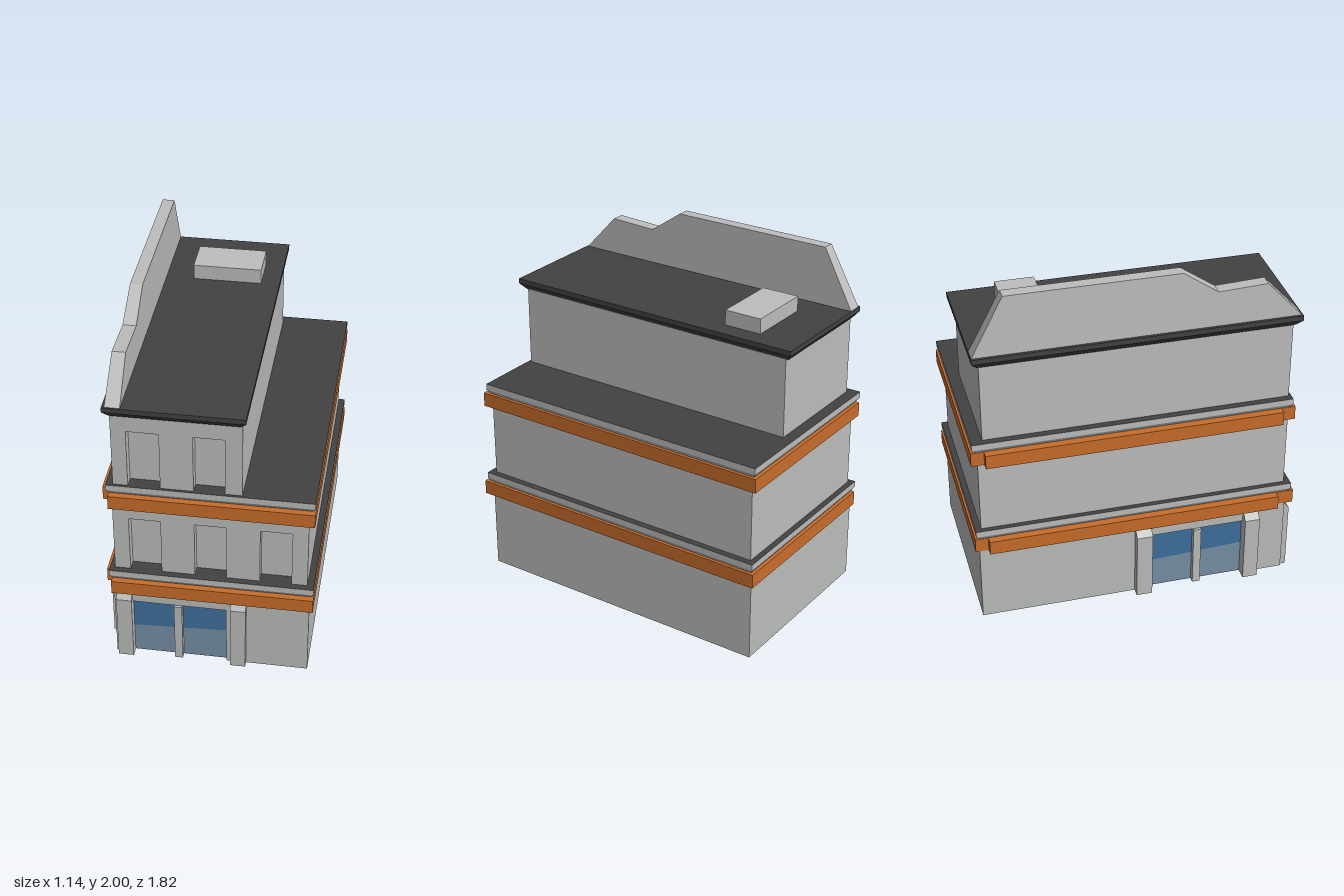
import * as THREE from 'three';

const mat = (name, color) => {
  const m = new THREE.MeshStandardMaterial({ color });
  m.name = name;
  return m;
};

export function createModel() {
  const wall = mat('wall grey', 0xbcbebc);
  const orange = mat('orange band', 0xc96d2b);
  const dark = mat('dark roof', 0x424242);
  const glassTop = mat('blue glass', 0x3f709c);
  const glassLow = mat('pale glass', 0x7690a6);
  glassTop.side = glassLow.side = THREE.DoubleSide;

  const model = new THREE.Group();
  model.name = 'building';

  const add = (parent, name, geometry, material) => {
    const mesh = new THREE.Mesh(geometry, material);
    mesh.name = name;
    parent.add(mesh);
    return mesh;
  };

  // Box given by its limits
  const box = (parent, name, material, x0, x1, y0, y1, z0, z1) => {
    const m = add(parent, name, new THREE.BoxGeometry(x1 - x0, y1 - y0, z1 - z0), material);
    m.position.set((x0 + x1) / 2, (y0 + y1) / 2, (z0 + z1) / 2);
  };

  // Slab whose underside slopes in by "inset" below yMid; sides and top coloured apart
  const flaredSlab = (name, side, top, x0, x1, y0, yMid, y1, z0, z1, inset) => {
    const g = new THREE.BoxGeometry(x1 - x0, 2, z1 - z0, 1, 2, 1);
    const p = g.attributes.position;
    for (let i = 0; i < p.count; i++) {
      const level = Math.round(p.getY(i));
      if (level < 0) {
        p.setX(i, p.getX(i) - Math.sign(p.getX(i)) * inset);
        p.setZ(i, p.getZ(i) - Math.sign(p.getZ(i)) * inset);
      }
      p.setY(i, [y0, yMid, y1][level + 1]);
    }
    const flat = g.toNonIndexed();
    flat.computeVertexNormals();
    const m = add(model, name, flat, [side, side, top, side, side, side]);
    m.position.set((x0 + x1) / 2, 0, (z0 + z1) / 2);
  };

  // Wall panel with openings that rise from its foot; outer face at z = front
  const notchedWall = (parent, name, x0, x1, y0, y1, openings, top, depth, front) => {
    const s = new THREE.Shape();
    s.moveTo(x0, y0);
    for (const [a, b] of openings) {
      s.lineTo(a, y0);
      s.lineTo(a, top);
      s.lineTo(b, top);
      s.lineTo(b, y0);
    }
    s.lineTo(x1, y0);
    s.lineTo(x1, y1);
    s.lineTo(x0, y1);
    const g = new THREE.ExtrudeGeometry(s, { depth, bevelEnabled: false });
    add(parent, name, g, wall).position.z = front - depth;
  };

  // Pilaster with a sloped head, extruded across its width
  const pilaster = (parent, x0, x1, back, front) => {
    const s = new THREE.Shape([
      [back, 0], [front, 0], [front, 0.4], [back + 0.005, 0.455], [back, 0.455],
    ].map(([z, y]) => new THREE.Vector2(-z, y)));
    const g = new THREE.ExtrudeGeometry(s, { depth: x1 - x0, bevelEnabled: false });
    g.rotateY(Math.PI / 2);
    add(parent, 'pilaster', g, wall).position.x = x0;
  };

  const quad = (points) => new THREE.ShapeGeometry(new THREE.Shape(points.map(([x, y]) => new THREE.Vector2(x, y))));

  // Shop front facing local +z: notched wall, two-tone glazing, mullion, pilasters
  const shopFront = (name, x0, x1, a, b, mullion, front, pilasters, reach) => {
    const g = new THREE.Group();
    g.name = name;
    notchedWall(g, 'shopWall', x0, x1, 0, 0.46, [[a, b]], 0.37, 0.04, front);
    const z = front - 0.02;
    add(g, 'upperGlass', quad([[a, 0.18], [b, 0.205], [b, 0.37], [a, 0.37]]), glassTop).position.z = z;
    add(g, 'lowerGlass', quad([[a, 0], [b, 0], [b, 0.205], [a, 0.18]]), glassLow).position.z = z;
    box(g, 'mullion', wall, mullion - 0.022, mullion + 0.022, 0, 0.37, front - 0.035, front + 0.015);
    for (const [p, q] of pilasters) pilaster(g, p, q, front - 0.01, front + reach);
    model.add(g);
    return g;
  };

  // Ground floor, open underneath
  box(model, 'groundBackWall', wall, -0.52, 0.545, 0, 0.46, -0.885, -0.865);
  box(model, 'groundLeftWall', wall, 0.525, 0.545, 0, 0.46, -0.885, 0.865);
  shopFront('frontShop', -0.52, 0.545, -0.42, 0.095, -0.168, 0.865,
    [[-0.505, -0.42], [0.12, 0.205]], 0.035);
  shopFront('sideShop', -0.885, 0.865, 0.08, 0.62, 0.35, 0.52,
    [[-0.01, 0.08], [0.62, 0.705]], 0.05).rotation.y = -Math.PI / 2;

  // Orange bands, each with a separate strip on the right side, and ledges above
  for (const [y, xMax, zMax] of [[0.455, 0.568, 0.91], [1.02, 0.562, 0.89]]) {
    box(model, 'orangeBand', orange, -0.525, xMax, y, y + 0.081, -0.907, zMax);
    box(model, 'sideBand', orange, -0.567, -0.52, y, y + 0.081, -0.835, 0.81);
    flaredSlab('ledge', wall, dark, -0.538, xMax - 0.002, y + 0.08, y + 0.105, y + 0.14,
      -0.902, zMax - 0.02, 0.016);
  }

  // Upper storeys with blank window recesses
  const storey = (name, x0, x1, y0, y1, z0, z1, openings, top) => {
    const g = new THREE.Group();
    g.name = name;
    box(g, 'storeyBody', wall, x0, x1, y0, y1, z0, z1 - 0.06);
    notchedWall(g, 'windowWall', x0, x1, y0, y1, openings, top, 0.06, z1);
    model.add(g);
  };
  storey('middleStorey', -0.51, 0.53, 0.59, 1.025, -0.87, 0.855,
    [[-0.425, -0.255], [-0.075, 0.095], [0.275, 0.445]], 0.937);
  storey('topStorey', -0.5, 0.18, 1.155, 1.61, -0.838, 0.855,
    [[-0.42, -0.25], [-0.075, 0.09]], 1.503);

  // Cornice and roof
  flaredSlab('cornice', dark, dark, -0.53, 0.203, 1.605, 1.642, 1.67, -0.877, 0.9, 0.03);

  // Stepped parapet along the right edge, leaning in slightly
  const profile = new THREE.Shape([
    [0.895, 1.668], [0.7, 1.88], [0.43, 1.868], [0.24, 2], [-0.7, 2], [-0.875, 1.668],
  ].map(([z, y]) => new THREE.Vector2(-z, y)));
  const parapet = new THREE.ExtrudeGeometry(profile, { depth: 0.08, bevelEnabled: false });
  parapet.rotateY(Math.PI / 2);
  const pp = parapet.attributes.position;
  for (let i = 0; i < pp.count; i++) {
    if (pp.getX(i) < 0.01) pp.setX(i, (pp.getY(i) - 1.668) * 0.04);
  }
  parapet.computeVertexNormals();
  add(model, 'parapet', parapet, wall).position.x = -0.515;

  // Rooftop unit
  box(model, 'rooftopUnit', wall, -0.28, 0.1, 1.665, 1.755, -0.632, -0.415);

  return model;
}
